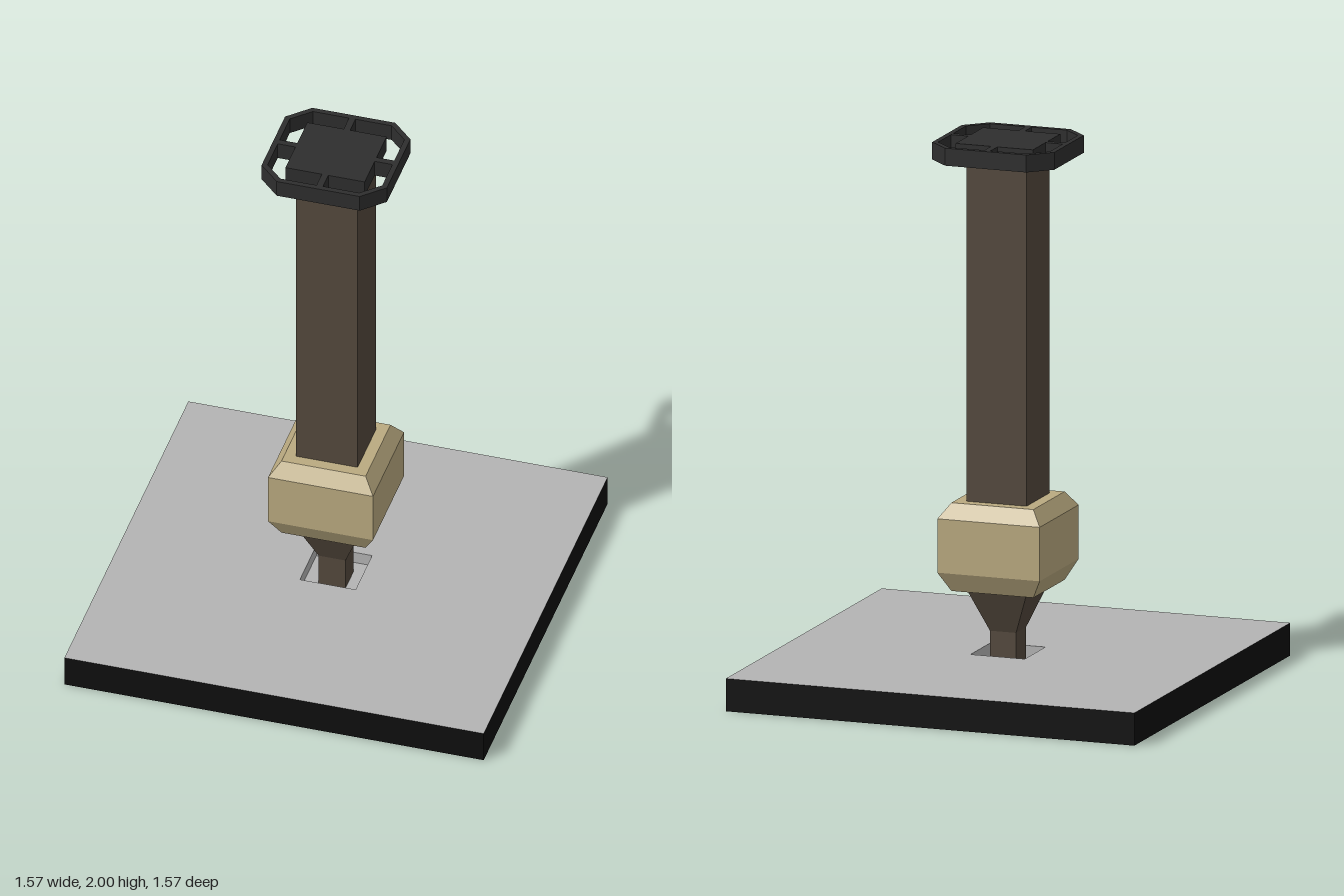
import * as THREE from 'three';

const mat = (name, color) => {
  const m = new THREE.MeshStandardMaterial({ color });
  m.name = name;
  return m;
};

// Rectangle or chamfered rectangle outline
function outline(path, x, z, cx = 0, cz = 0) {
  const pts = cx
    ? [[x, cz], [cx, z], [-cx, z], [-x, cz], [-x, -cz], [-cx, -z], [cx, -z], [x, -cz]]
    : [[x, z], [-x, z], [-x, -z], [x, -z]];
  path.setFromPoints(pts.map(([a, b]) => new THREE.Vector2(a, b)));
  return path;
}

// Upright extruded frame with a hole, from y0 to y1
function frame(outer, inner, y0, y1) {
  const shape = outline(new THREE.Shape(), ...outer);
  shape.holes.push(outline(new THREE.Path(), ...inner));
  return new THREE.ExtrudeGeometry(shape, { depth: y1 - y0, bevelEnabled: false })
    .rotateX(-Math.PI / 2).translate(0, y0, 0);
}

// Square solid from [half width, height] steps, bottom to top
function squareSolid(profile) {
  const pts = profile.map(([h, y]) => new THREE.Vector2(h * Math.SQRT2, y));
  const g = new THREE.LatheGeometry(pts, 4, Math.PI / 4).toNonIndexed();
  g.computeVertexNormals();
  return g;
}

const box = (w, h, d, x, y, z) => new THREE.BoxGeometry(w, h, d).translate(x, y, z);

export function createModel() {
  const group = new THREE.Group();
  const black = mat('black', 0x0e0e0e);
  const grey = mat('grey', 0xb4b4b4);
  const charcoal = mat('charcoal', 0x2e2e2e);
  const brown = mat('brown', 0x54493d);
  const tan = mat('tan', 0xbaaa80);

  const add = (name, geometry, material) => {
    const mesh = new THREE.Mesh(geometry, material);
    mesh.name = name;
    group.add(mesh);
  };

  // Base plate with a square socket
  const B = 0.783, H = 0.108, floor = 0.07;
  add('baseBottom', box(2 * B, floor, 2 * B, 0, floor / 2, 0), black);
  add('baseTop', frame([B, B], [H, H], floor, 0.12), [grey, black]);
  add('socketLining', frame([H, H], [H - 0.004, H - 0.004], floor, 0.12), grey);
  add('socketFloor', box(2 * H, 0.004, 2 * H, 0, floor + 0.002, 0), grey);

  // Foot, taper and column
  add('foot', squareSolid([[0, floor], [0.05, floor], [0.05, 0.2], [0.115, 0.36], [0, 0.36]]), brown);
  add('column', box(0.23, 1.26, 0.23, 0, 1.31, 0), brown);

  // Bevelled collar
  add('collar', squareSolid([
    [0, 0.36], [0.157, 0.36], [0.196, 0.432], [0.196, 0.63], [0.157, 0.684], [0, 0.684],
  ]), tan);

  // Cap: centre plate, spokes and chamfered ring
  const y = 1.968, t = 0.064;
  add('capPlate', box(0.296, t, 0.276, 0, y, 0), charcoal);
  add('capRing', frame([0.234, 0.225, 0.155, 0.148], [0.214, 0.205, 0.147, 0.14], y - t / 2, 2), charcoal);
  for (const s of [-1, 1]) {
    add('capSpokeSide', box(0.072, t, 0.024, s * 0.183, y, 0), charcoal);
    add('capSpokeEnd', box(0.024, t, 0.072, 0, y, s * 0.173), charcoal);
  }
  return group;
}
